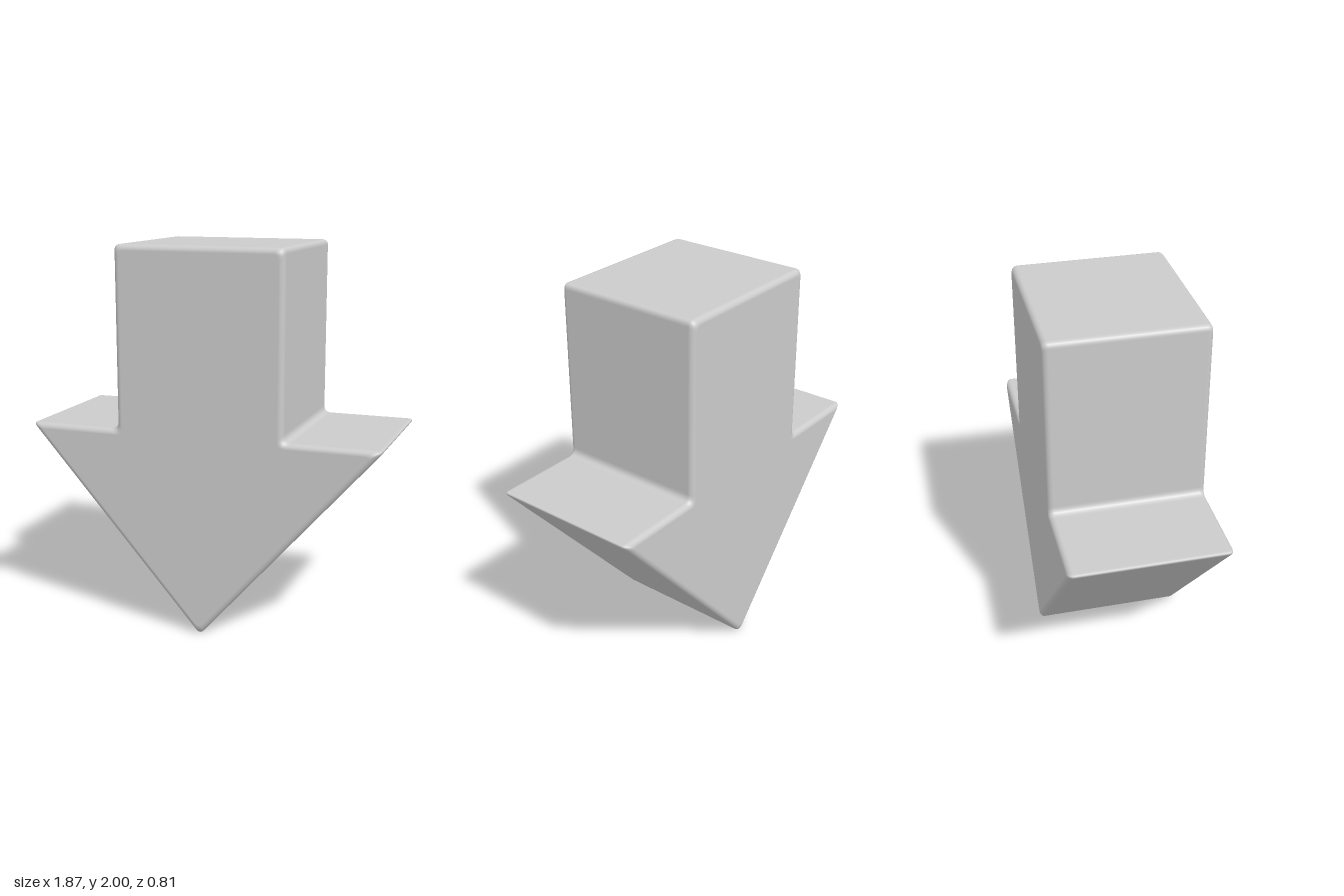
import * as THREE from 'three';

// Arrow outline, counter-clockwise: x, y, and how far each corner is rounded
const CORNERS = [
  [0, -0.011, 0.03], [0.945, 1.06, 0.03], [0.445, 1.06, 0.04], [0.445, 2, 0.03],
  [-0.445, 2, 0.03], [-0.445, 1.06, 0.04], [-0.945, 1.06, 0.03],
];
const HALF_DEPTH = 0.403;
const BEVEL = 0.03;
const CORNER_STEPS = 6;
const BEVEL_STEPS = 6;

// Outline moved inward by `inset`, with rounded corners and outward normals
function outline(inset) {
  const pts = CORNERS.map(([x, y]) => new THREE.Vector2(x, y));
  const count = pts.length;
  const dirs = pts.map((p, i) => pts[(i + 1) % count].clone().sub(p).normalize());
  const outward = dirs.map((d) => new THREE.Vector2(d.y, -d.x));
  const ring = [];
  pts.forEach((p, i) => {
    const prev = (i + count - 1) % count;
    const n1 = outward[prev], n2 = outward[i], round = CORNERS[i][2];
    const corner = p.clone().addScaledVector(n1.clone().add(n2), -inset / (1 + n1.dot(n2)));
    const curve = new THREE.QuadraticBezierCurve(
      corner.clone().addScaledVector(dirs[prev], -round),
      corner,
      corner.clone().addScaledVector(dirs[i], round),
    );
    for (let k = 0; k <= CORNER_STEPS; k++) {
      const t = k / CORNER_STEPS;
      ring.push({ point: curve.getPoint(t), normal: n1.clone().lerp(n2, t).normalize() });
    }
  });
  return ring;
}

function arrowGeometry() {
  // Cross-sections from back to front: back bevel, then front bevel
  const layers = [];
  for (const side of [-1, 1]) {
    for (let k = 0; k <= BEVEL_STEPS; k++) {
      const t = k / BEVEL_STEPS;
      const a = (side < 0 ? 1 - t : t) * Math.PI / 2;
      layers.push({
        ring: outline(BEVEL * (1 - Math.cos(a))),
        z: side * (HALF_DEPTH - BEVEL + BEVEL * Math.sin(a)),
        flat: Math.cos(a),
        tilt: side * Math.sin(a),
      });
    }
  }

  const positions = [], normals = [], indices = [];
  for (const { ring, z, flat, tilt } of layers) {
    for (const { point, normal } of ring) {
      positions.push(point.x, point.y, z);
      normals.push(normal.x * flat, normal.y * flat, tilt);
    }
  }

  // Walls between neighbouring cross-sections
  const n = layers[0].ring.length;
  for (let l = 0; l < layers.length - 1; l++) {
    for (let i = 0; i < n; i++) {
      const j = (i + 1) % n;
      const a = l * n + i, b = l * n + j, c = b + n, d = a + n;
      indices.push(a, b, c, a, c, d);
    }
  }

  // Front and back faces
  const last = (layers.length - 1) * n;
  const faces = THREE.ShapeUtils.triangulateShape(layers[0].ring.map((v) => v.point), []);
  for (const [a, b, c] of faces) {
    indices.push(last + a, last + b, last + c, c, b, a);
  }

  const geometry = new THREE.BufferGeometry();
  geometry.setAttribute('position', new THREE.Float32BufferAttribute(positions, 3));
  geometry.setAttribute('normal', new THREE.Float32BufferAttribute(normals, 3));
  geometry.setIndex(indices);
  return geometry;
}

export function createModel() {
  const group = new THREE.Group();
  group.name = 'downArrow';
  const arrow = new THREE.Mesh(arrowGeometry(), new THREE.MeshStandardMaterial({ color: 0xcccccc }));
  arrow.name = 'arrowBody';
  group.add(arrow);
  return group;
}
